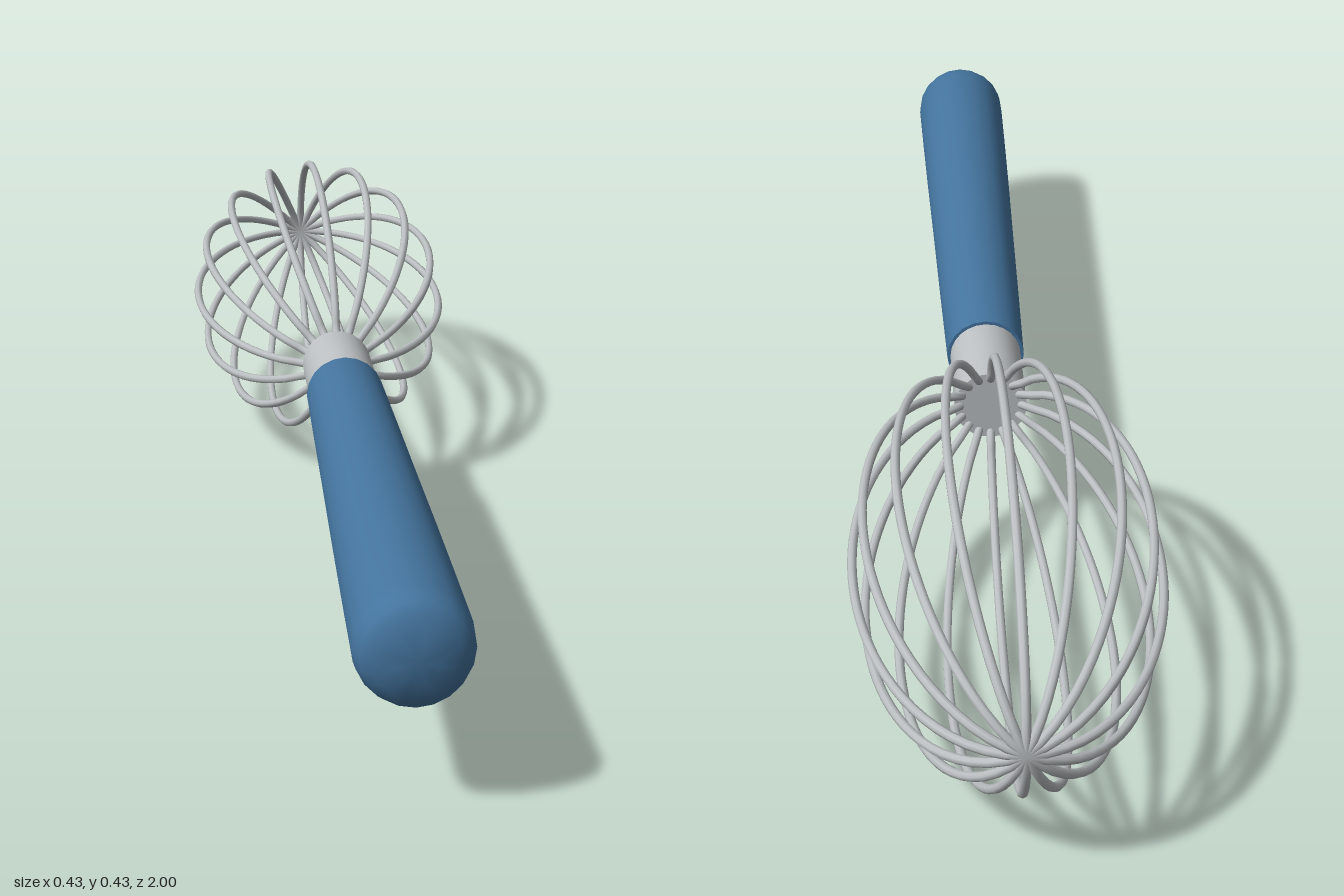
import * as THREE from 'three';
import { toCreasedNormals } from 'three/addons/utils/BufferGeometryUtils.js';

const AXIS_Y = 0.2225;   // height of the whisk's long axis
const WIRE_R = 0.0065;
const LOOPS = 8;         // each loop makes two opposite wires

// Turned part lying along z; profile is [radius, z] from back to front
function turned(name, profile, sides, material) {
  const points = profile.map(([r, z]) => new THREE.Vector2(r, z));
  const geometry = new THREE.LatheGeometry(points, sides).rotateX(Math.PI / 2);
  const mesh = new THREE.Mesh(toCreasedNormals(geometry, 0.75), material);
  mesh.name = name;
  return mesh;
}

// One wire loop: out of the ferrule, round the tip and back in
function wireLoopGeometry() {
  const points = [new THREE.Vector3(0.043, 0, -0.13)];
  const start = 0.23, steps = 36;
  for (let i = 0; i <= steps; i++) {
    const a = start + (2 * Math.PI - 2 * start) * i / steps;
    points.push(new THREE.Vector3(0.211 * Math.sin(a), 0, -0.57 + 0.4235 * Math.cos(a)));
  }
  points.push(new THREE.Vector3(-0.043, 0, -0.13));
  return new THREE.TubeGeometry(new THREE.CatmullRomCurve3(points), 80, WIRE_R, 8);
}

export function createModel() {
  const blue = new THREE.MeshStandardMaterial({ color: 0x44749e });
  blue.name = 'blue handle';
  const steel = new THREE.MeshStandardMaterial({ color: 0xbcc0c2 });
  steel.name = 'steel';

  const whisk = new THREE.Group();
  whisk.name = 'whisk';
  whisk.position.y = AXIS_Y;

  // Tapered grip with a domed end
  whisk.add(turned('handle', [
    [0, 0], [0.06, 0], [0.064, 0.2], [0.068, 0.42], [0.072, 0.62], [0.075, 0.8],
    [0.077, 0.94], [0.0755, 0.962], [0.069, 0.98], [0.056, 0.99], [0.03, 0.998], [0, 1],
  ], 20, blue));

  // Metal collar between grip and wires
  whisk.add(turned('ferrule', [
    [0, -0.155], [0.055, -0.155], [0.055, 0.01], [0, 0.01],
  ], 24, steel));

  // Wire balloon
  const balloon = new THREE.Group();
  balloon.name = 'wires';
  const loop = wireLoopGeometry();
  for (let i = 0; i < LOOPS; i++) {
    const wire = new THREE.Mesh(loop, steel);
    wire.name = 'wireLoop';
    wire.rotation.z = Math.PI * i / LOOPS;
    balloon.add(wire);
  }
  whisk.add(balloon);

  const model = new THREE.Group();
  model.add(whisk);
  return model;
}
